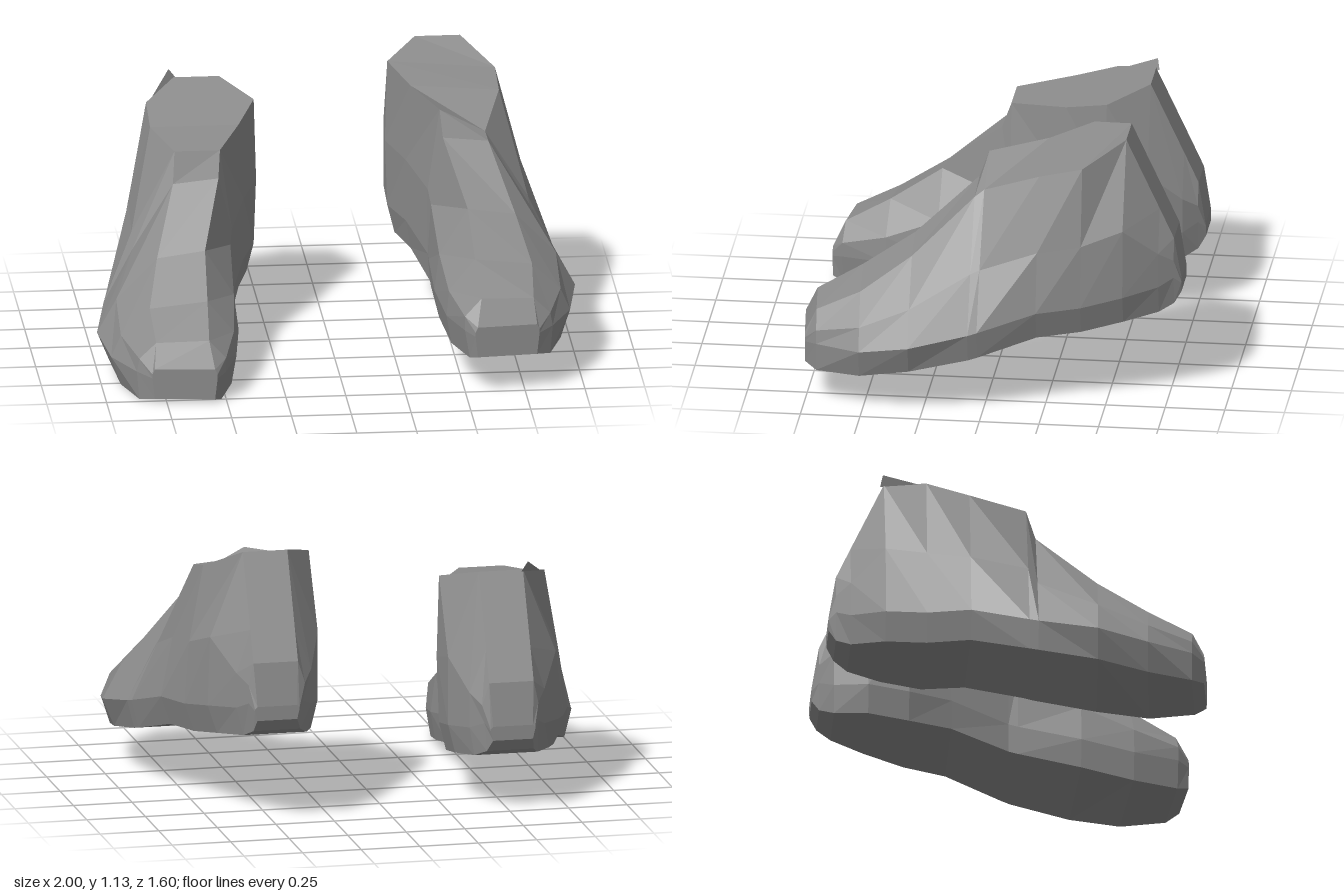
import * as THREE from 'three';

// Cross-sections from toe to heel:
// z, sole y, top y inner/outer, then inner/outer x of sole, welt, side and top
const SECTIONS = [
  [0.78, 0.16, 0.29, 0.29, 0.55, 0.80, 0.54, 0.81, 0.54, 0.81, 0.55, 0.80],
  [0.73, 0.145, 0.40, 0.39, 0.52, 0.86, 0.50, 0.87, 0.50, 0.86, 0.57, 0.79],
  [0.54, 0.15, 0.51, 0.48, 0.46, 0.92, 0.44, 0.96, 0.45, 0.92, 0.56, 0.80],
  [0.32, 0.19, 0.66, 0.63, 0.43, 0.95, 0.41, 1.00, 0.43, 0.92, 0.55, 0.75],
  [0.06, 0.24, 0.89, 0.87, 0.42, 0.92, 0.41, 0.95, 0.42, 0.83, 0.47, 0.66],
  [0.02, 0.25, 1.00, 0.90, 0.42, 0.91, 0.41, 0.94, 0.41, 0.83, 0.46, 0.65],
  [-0.22, 0.32, 1.03, 1.00, 0.36, 0.83, 0.34, 0.87, 0.34, 0.82, 0.36, 0.73],
  [-0.40, 0.33, 1.08, 1.04, 0.31, 0.77, 0.28, 0.81, 0.27, 0.79, 0.28, 0.73],
  [-0.57, 0.36, 1.13, 1.13, 0.31, 0.71, 0.28, 0.75, 0.28, 0.74, 0.41, 0.60],
  [-0.71, 0.38, 0.83, 0.83, 0.36, 0.63, 0.34, 0.66, 0.34, 0.66, 0.41, 0.60],
  [-0.77, 0.41, 0.70, 0.70, 0.40, 0.60, 0.39, 0.62, 0.38, 0.62, 0.41, 0.60],
  [-0.80, 0.46, 0.52, 0.52, 0.42, 0.59, 0.41, 0.60, 0.41, 0.60, 0.42, 0.59],
];

const material = new THREE.MeshStandardMaterial({
  color: 0x8c8c8c, flatShading: true, side: THREE.DoubleSide,
});

// One section as an eight-cornered loop; a level collar has no dip on its outer rim
function sectionLoop([z, yb, yti, ytOuter, bi, bo, wi, wo, si, so, ti, to], levelCollar) {
  const yto = levelCollar && z < 0.05 ? yti : ytOuter;
  const yw = yb + Math.min(0.12, (yti - yb) * 0.7);
  const ysi = yw + (yti - yw) * 0.45;
  const yso = yw + (yto - yw) * 0.45;
  const skew = 0.1 * Math.max(z, 0) / 0.78; // toe is cut slightly on the slant
  return [[bi, yb], [bo, yb], [wo, yw], [so, yso], [to, yto], [ti, yti], [si, ysi], [wi, yw]]
    .map(([x, y]) => [x, y, z - skew * (x - 0.54)]);
}

// Loft the sections into a closed shoe; side is +1 for left, -1 for right
function shoeGeometry(side, levelCollar) {
  const loops = SECTIONS.map((s) => sectionLoop(s, levelCollar));
  const n = 8, last = loops.length - 1;
  const positions = [], index = [];
  for (const loop of loops) for (const [x, y, z] of loop) positions.push(x * side, y, z);
  const tri = (a, b, c) => (side > 0 ? index.push(a, b, c) : index.push(a, c, b));
  for (let r = 0; r < last; r++) {
    for (let j = 0; j < n; j++) {
      const k = (j + 1) % n;
      const a = r * n + j, b = (r + 1) * n + j, c = (r + 1) * n + k, d = r * n + k;
      tri(a, b, c);
      tri(a, c, d);
    }
  }
  for (let j = 1; j < n - 1; j++) {
    tri(0, j, j + 1);
    tri(last * n, last * n + j + 1, last * n + j);
  }
  const g = new THREE.BufferGeometry();
  g.setAttribute('position', new THREE.Float32BufferAttribute(positions, 3));
  g.setIndex(index);
  const flat = g.toNonIndexed();
  flat.computeVertexNormals();
  return flat;
}

function addMesh(parent, geometry, name) {
  const mesh = new THREE.Mesh(geometry, material);
  mesh.name = name;
  parent.add(mesh);
  return mesh;
}

export function createModel() {
  const group = new THREE.Group();
  group.name = 'pairOfShoes';

  addMesh(group, shoeGeometry(1, false), 'leftShoe');

  // The right shoe stands lower and a touch further forward
  const right = addMesh(group, shoeGeometry(-1, true), 'rightShoe');
  right.position.set(0, -0.145, 0.015);

  // Turned-up sliver on the outer rim of the right collar
  const flap = new THREE.BufferGeometry();
  flap.setAttribute('position', new THREE.Float32BufferAttribute(
    [-0.74, 0.91, -0.36, -0.62, 1.02, -0.56, -0.59, 0.98, -0.57], 3));
  flap.computeVertexNormals();
  addMesh(group, flap, 'rightCollarFlap');

  return group;
}
